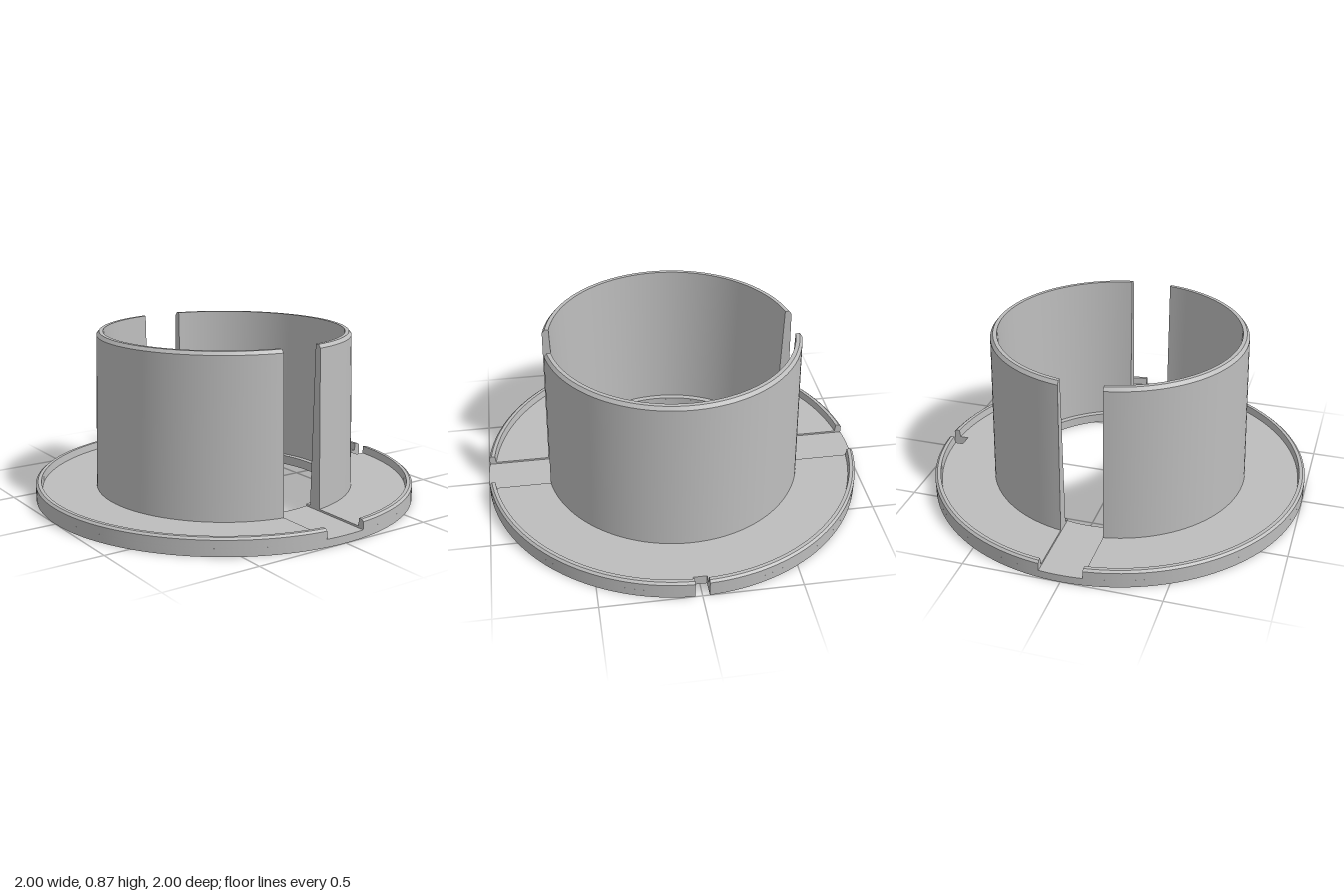
import * as THREE from 'three';
import { toCreasedNormals } from 'three/addons/utils/BufferGeometryUtils.js';

const BORE = 0.58, OUTER = 1, SLOT = 0.11, NOTCH = 0.035, NOTCH_X = 0.92;
const FLOOR = 0.05, SLOT_FLOOR = 0.04;
const H = Math.PI / 2;
const slotAngle = r => Math.asin(SLOT / r);
const notchAngle = r => Math.asin(NOTCH / r);

// Sweep a closed counter-clockwise [radius, y] profile; the end angles depend
// on the radius so that the cut faces are parallel planes.
function sweep(profile, start, end, segments) {
  const pos = [];
  const at = ([r, y], k) => {
    const a = start(r) + (end(r) - start(r)) * k / segments;
    return [r * Math.cos(a), y, -r * Math.sin(a)];
  };
  const tri = (a, b, c) => pos.push(...a, ...b, ...c);
  profile.forEach((p, i) => {
    const q = profile[(i + 1) % profile.length];
    for (let k = 0; k < segments; k++) {
      tri(at(p, k), at(p, k + 1), at(q, k + 1));
      tri(at(p, k), at(q, k + 1), at(q, k));
    }
  });
  const outline = profile.map(([r, y]) => new THREE.Vector2(r, y));
  for (const [a, b, c] of THREE.ShapeUtils.triangulateShape(outline, [])) {
    tri(at(profile[a], 0), at(profile[b], 0), at(profile[c], 0));
    tri(at(profile[a], segments), at(profile[c], segments), at(profile[b], segments));
  }
  const g = new THREE.BufferGeometry();
  g.setAttribute('position', new THREE.Float32BufferAttribute(pos, 3));
  return toCreasedNormals(g, 0.35);
}

// Points along an arc
function arc(r, a0, a1, n) {
  return Array.from({ length: n + 1 }, (_, i) => {
    const a = a0 + (a1 - a0) * i / n;
    return new THREE.Vector2(r * Math.cos(a), r * Math.sin(a));
  });
}

// Flat plate between two heights
function plate(shape, y0, y1) {
  const g = new THREE.ExtrudeGeometry(shape, { depth: y1 - y0, bevelEnabled: false });
  g.rotateX(-H).translate(0, y0, 0);
  return toCreasedNormals(g, 0.35);
}

export function createModel() {
  const group = new THREE.Group();
  const grey = new THREE.MeshStandardMaterial({ color: 0xbdbdbd });
  grey.name = 'grey plastic';
  const add = (name, geometry) => {
    const m = new THREE.Mesh(geometry, grey);
    m.name = name;
    group.add(m);
  };
  const notchCorners = [new THREE.Vector2(NOTCH_X, -NOTCH), new THREE.Vector2(NOTCH_X, NOTCH)];
  const n = notchAngle(OUTER), so = slotAngle(OUTER), si = slotAngle(BORE);

  // Base ring, whose top is the floor of the two slots
  const base = new THREE.Shape([...arc(OUTER, n, 2 * Math.PI - n, 128), ...notchCorners]);
  base.holes.push(new THREE.Path(arc(BORE, 2 * Math.PI, 0, 128).slice(0, -1)));
  add('baseRing', plate(base, 0, SLOT_FLOOR));

  // Raised tray floor on either side of the slots
  add('trayFloorLeft', plate(new THREE.Shape([
    ...arc(OUTER, -H + so, -n, 32), ...notchCorners, ...arc(OUTER, n, H - so, 32),
    ...arc(BORE, H - si, -H + si, 64)]), SLOT_FLOOR, FLOOR));
  add('trayFloorRight', plate(new THREE.Shape([
    ...arc(OUTER, H + so, 3 * H - so, 64),
    ...arc(BORE, 3 * H - si, H + si, 64)]), SLOT_FLOOR, FLOOR));

  // Chamfered rim, interrupted by the slots and the notch
  const rim = [[0.965, FLOOR], [1, FLOOR], [1, 0.08], [0.988, 0.09], [0.97, 0.09]];
  add('rimLeftFront', sweep(rim, r => -H + slotAngle(r), r => -notchAngle(r), 32));
  add('rimLeftBack', sweep(rim, notchAngle, r => H - slotAngle(r), 32));
  add('rimRight', sweep(rim, r => H + slotAngle(r), r => 3 * H - slotAngle(r), 64));

  // Tapered tube in two halves with a chamfered top edge
  const tube = [[0.61, FLOOR], [0.681, FLOOR], [0.662, 0.855], [0.648, 0.872], [0.628, 0.872]];
  for (const [name, mid] of [['tubeLeft', 0], ['tubeRight', Math.PI]])
    add(name, sweep(tube, r => mid - H + slotAngle(r), r => mid + H - slotAngle(r), 64));

  return group;
}
